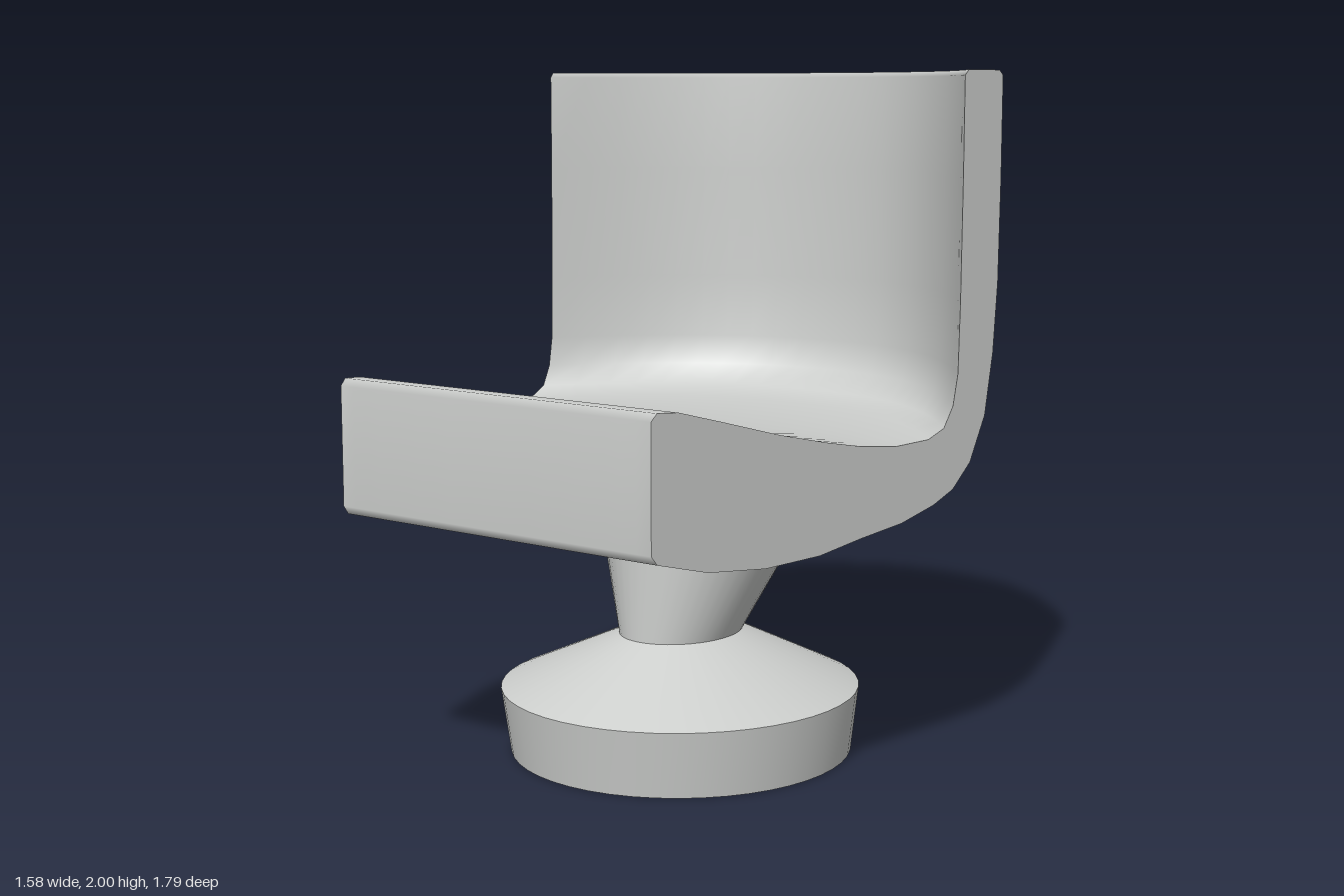
import * as THREE from 'three';
import { toCreasedNormals } from 'three/addons/utils/BufferGeometryUtils.js';

// Side section of the shell on the centre line, as [z, y]: seat, backrest, underside, front
const SECTION = [
  [0.87, 1.15], [0.8, 1.145], [0.65, 1.105], [0.45, 1.05], [0.25, 1.01], [0, 0.985],
  [-0.25, 0.97], [-0.5, 0.975], [-0.62, 1.0], [-0.69, 1.06], [-0.725, 1.15], [-0.735, 1.35],
  [-0.74, 1.7], [-0.74, 1.985], [-0.755, 2],
  [-0.885, 2], [-0.9, 1.985], [-0.9, 1.7], [-0.895, 1.4], [-0.88, 1.2], [-0.85, 1.02],
  [-0.79, 0.89], [-0.7, 0.82], [-0.55, 0.785], [-0.3, 0.75], [0, 0.73], [0.3, 0.705],
  [0.5, 0.7], [0.7, 0.72], [0.87, 0.765], [0.89, 0.79], [0.89, 1.13],
];
const HALF = [0.13, 0.255, 0.36, 0.46, 0.55, 0.64, 0.73, 0.815, 0.91, 1];
const STATIONS = [...HALF.map((u) => -u).reverse(), 0, ...HALF];

// Place a section point at u (-1 to 1): the back wraps forward, the sides taper to the front
function shellPoint(u, [z, y]) {
  const wrap = THREE.MathUtils.clamp((0.3 - z) / 1.04, 0, 1) * 0.49;
  const halfWidth = 0.55 + (0.89 - (z + wrap)) * 0.185;
  return [u * halfWidth, y, z + wrap * Math.pow(Math.abs(u), 2.25)];
}

function shellGeometry() {
  const n = SECTION.length;
  const positions = [];
  const index = [];
  STATIONS.forEach((u) => SECTION.forEach((p) => positions.push(...shellPoint(u, p))));
  for (let i = 0; i < STATIONS.length - 1; i++) {
    for (let j = 0; j < n; j++) {
      const k = (j + 1) % n;
      const a = i * n + j, b = a + n, c = (i + 1) * n + k, d = i * n + k;
      index.push(a, b, c, a, c, d);
    }
  }
  // Flat side faces, with their own vertices so that the edges stay sharp
  for (const side of [-1, 1]) {
    const start = positions.length / 3;
    const points = SECTION.map((p) => shellPoint(side, p));
    points.forEach((p) => positions.push(...p));
    const contour = points.map((p) => new THREE.Vector2(p[2], p[1]));
    for (const [a, b, c] of THREE.ShapeUtils.triangulateShape(contour, [])) {
      if (side < 0) index.push(start + a, start + b, start + c);
      else index.push(start + a, start + c, start + b);
    }
  }
  const geometry = new THREE.BufferGeometry();
  geometry.setAttribute('position', new THREE.Float32BufferAttribute(positions, 3));
  geometry.setIndex(index);
  geometry.computeVertexNormals();
  return geometry;
}

// Oval frustum between two rings, each { y, z, rx, rz }
function frustum(bottom, top) {
  const geometry = new THREE.CylinderGeometry(1, 1, 2, 48, 1);
  const pos = geometry.attributes.position;
  for (let i = 0; i < pos.count; i++) {
    const ring = pos.getY(i) > 0 ? top : bottom;
    pos.setXYZ(i, pos.getX(i) * ring.rx, ring.y, ring.z + pos.getZ(i) * ring.rz);
  }
  return toCreasedNormals(geometry, 0.4);
}

export function createModel() {
  const model = new THREE.Group();
  model.name = 'swivelChair';
  const grey = new THREE.MeshStandardMaterial({ color: 0xcccecc });
  grey.name = 'light grey';

  const add = (name, geometry) => {
    const mesh = new THREE.Mesh(geometry, grey);
    mesh.name = name;
    model.add(mesh);
  };

  // Seat and wraparound backrest in one shell
  add('seatShell', shellGeometry());

  // Pedestal rings from the floor up
  const foot = { y: 0, z: 0.055, rx: 0.505, rz: 0.515 };
  const rim = { y: 0.195, z: 0.06, rx: 0.53, rz: 0.54 };
  const neck = { y: 0.355, z: 0.055, rx: 0.17, rz: 0.205 };
  const underSeat = { y: 0.76, z: -0.08, rx: 0.345, rz: 0.33 };
  add('baseDisc', frustum(foot, rim));
  add('baseCone', frustum(rim, neck));
  add('column', frustum(neck, underSeat));

  return model;
}
